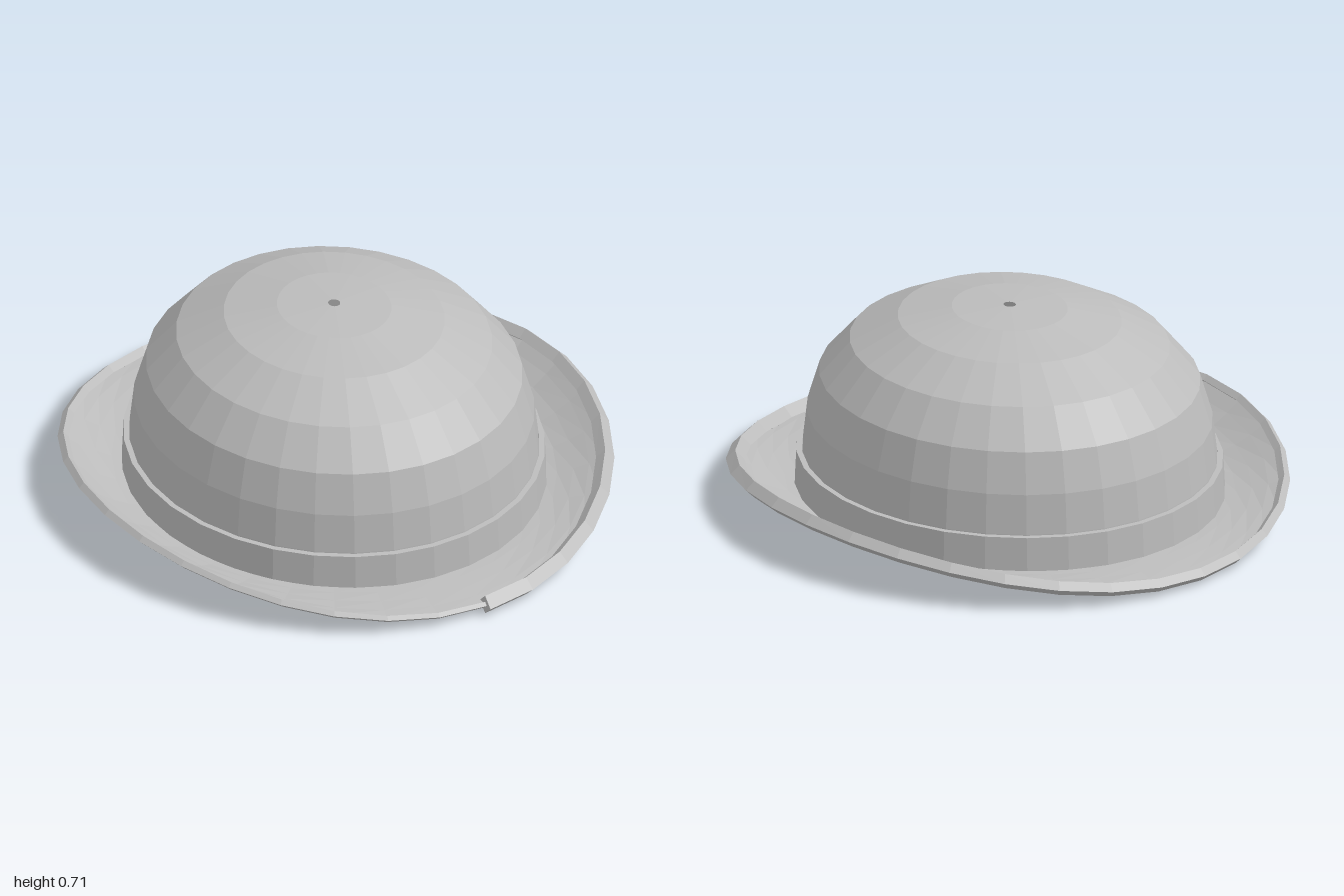
import * as THREE from 'three';

const SEG = 32;
const felt = new THREE.MeshStandardMaterial({ color: 0xbcbcbc, flatShading: true, side: THREE.DoubleSide });
felt.name = 'grey felt';

// Oval lathe: profile of [radius, y], stretched front to back
function ovalLathe(name, profile) {
  const points = profile.map(([r, y]) => new THREE.Vector2(r, y));
  const geometry = new THREE.LatheGeometry(points, SEG, Math.PI / SEG);
  geometry.scale(1, 1, 1.08);
  geometry.translate(-0.006, 0, -0.007);
  const mesh = new THREE.Mesh(geometry, felt);
  mesh.name = name;
  return mesh;
}

// Surface through a grid of points; point(i, j) returns [x, y, z]
function gridSurface(name, rows, cols, point) {
  const positions = [], index = [];
  for (let i = 0; i <= rows; i++)
    for (let j = 0; j <= cols; j++) positions.push(...point(i, j));
  for (let i = 0; i < rows; i++)
    for (let j = 0; j < cols; j++) {
      const a = i * (cols + 1) + j, b = a + cols + 1;
      index.push(a, b, a + 1, b, b + 1, a + 1);
    }
  const geometry = new THREE.BufferGeometry();
  geometry.setAttribute('position', new THREE.Float32BufferAttribute(positions, 3));
  geometry.setIndex(index);
  geometry.computeVertexNormals();
  const mesh = new THREE.Mesh(geometry, felt);
  mesh.name = name;
  return mesh;
}

// Oval brim edge, low at front and back and raised at the sides
const edgeHeight = (angle) => 0.035 + 0.137 * Math.sin(angle) ** 2;
const oval = (angle, rx, rz, y) => [-0.006 + rx * Math.sin(angle), y, -0.007 + rz * Math.cos(angle)];

export function createModel() {
  const hat = new THREE.Group();
  hat.name = 'roundHat';

  // Open domed crown with a tiny hole at the top
  hat.add(ovalLathe('crown', [
    [0.685, 0.05], [0.68, 0.175], [0.665, 0.315], [0.625, 0.455],
    [0.525, 0.577], [0.367, 0.665], [0.19, 0.705], [0.02, 0.715],
  ]));

  // Band around the foot of the crown
  hat.add(ovalLathe('band', [[0.706, 0.05], [0.7, 0.172], [0.681, 0.172]]));

  // Curled brim, flat at the crown and bending to the raised sides
  const rings = 4;
  hat.add(gridSurface('brim', rings, SEG, (i, j) => {
    const t = i / rings, angle = (j / SEG) * Math.PI * 2;
    const y = THREE.MathUtils.lerp(0.05, edgeHeight(angle), t ** 1.5);
    return oval(angle, THREE.MathUtils.lerp(0.685, 0.898, t), THREE.MathUtils.lerp(0.74, 0.97, t), y);
  }));

  // Diamond-section edge trim, tapering once around from the front
  const trimSize = (t) => THREE.MathUtils.lerp(0.035, 0.011, t);
  const trimPoint = (t, corner) => {
    const angle = t * Math.PI * 2, s = trimSize(t), c = corner * Math.PI / 2;
    const out = s * Math.cos(c);
    return oval(angle, 0.898 + out, 0.97 + out, edgeHeight(angle) + s * Math.sin(c));
  };
  hat.add(gridSurface('brimTrim', SEG, 4, (i, j) => trimPoint(i / SEG, j)));

  // Closed ends of the trim
  for (const [name, t] of [['trimStart', 0], ['trimEnd', 1]]) {
    const corners = [[0, 1], [3, 2]];
    hat.add(gridSurface(name, 1, 1, (i, j) => trimPoint(t, corners[i][j])));
  }
  return hat;
}
